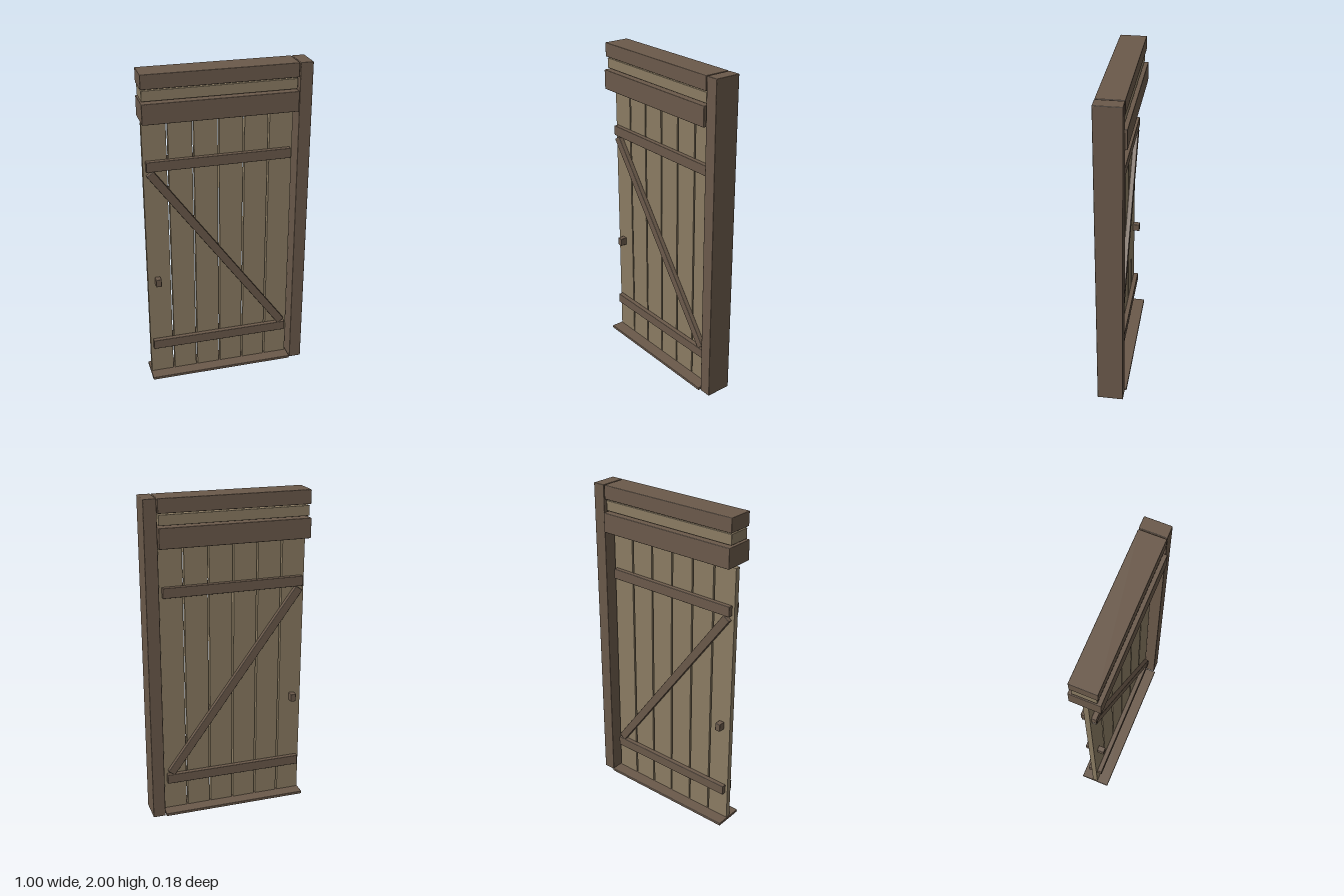
import * as THREE from 'three';
import { RoundedBoxGeometry } from 'three/addons/geometries/RoundedBoxGeometry.js';

export function createModel() {
  const root = new THREE.Group();
  root.name = 'plankDoor';

  const darkWood = new THREE.MeshStandardMaterial({ color: 0x6a594a });
  darkWood.name = 'darkWood';
  const paleWood = new THREE.MeshStandardMaterial({ color: 0x8a7b62 });
  paleWood.name = 'paleWood';

  // Box given by its limits, with slightly eased edges when bevel > 0
  function block(name, material, [x0, x1], [y0, y1], [z0, z1], bevel = 0) {
    const size = [x1 - x0, y1 - y0, z1 - z0];
    const geometry = bevel > 0
      ? new RoundedBoxGeometry(...size, 1, bevel)
      : new THREE.BoxGeometry(...size);
    const mesh = new THREE.Mesh(geometry, material);
    mesh.name = name;
    mesh.position.set((x0 + x1) / 2, (y0 + y1) / 2, (z0 + z1) / 2);
    root.add(mesh);
    return mesh;
  }

  // Frame: post, lintel beams and sill
  const span = [-0.498, 0.416];
  block('post', darkWood, [0.421, 0.498], [0, 2], [-0.08, 0.08], 0.004);
  block('topBeam', darkWood, span, [1.915, 2], [-0.08, 0.08], 0.004);
  block('transomBoard', paleWood, [-0.493, 0.411], [1.845, 1.907], [-0.07, 0.07], 0.003);
  block('lintel', darkWood, span, [1.716, 1.837], [-0.092, 0.092], 0.004);
  block('sill', darkWood, span, [0, 0.018], [-0.092, 0.092], 0.004);

  // Door leaf: six upright planks with open gaps
  const count = 6, left = -0.492, pitch = 0.1515, width = 0.141, half = 0.016;
  for (let i = 0; i < count; i++) {
    const x = left + i * pitch;
    block('plank' + (i + 1), paleWood, [x, x + width], [0.018, 1.7], [-half, half]);
  }

  // Rails, diagonal brace and knob, the same on both faces
  const start = new THREE.Vector2(-0.456, 1.402);
  const end = new THREE.Vector2(0.365, 0.272);
  const run = end.clone().sub(start);
  for (const [side, s] of [['front', 1], ['back', -1]]) {
    const depth = (d) => (s > 0 ? [half, d] : [-d, -half]);
    block(side + 'UpperRail', darkWood, [-0.477, 0.391], [1.415, 1.477], depth(0.046), 0.003);
    block(side + 'LowerRail', darkWood, [-0.477, 0.391], [0.203, 0.264], depth(0.046), 0.003);
    block(side + 'Knob', darkWood, [-0.45, -0.415], [0.66, 0.71], depth(0.06), 0.004);

    const length = run.length();
    const brace = block(side + 'Brace', darkWood, [-length / 2, length / 2], [-0.025, 0.025], depth(0.044), 0.003);
    brace.position.x = (start.x + end.x) / 2;
    brace.position.y = (start.y + end.y) / 2;
    brace.rotation.z = Math.atan2(run.y, run.x);
  }

  return root;
}
